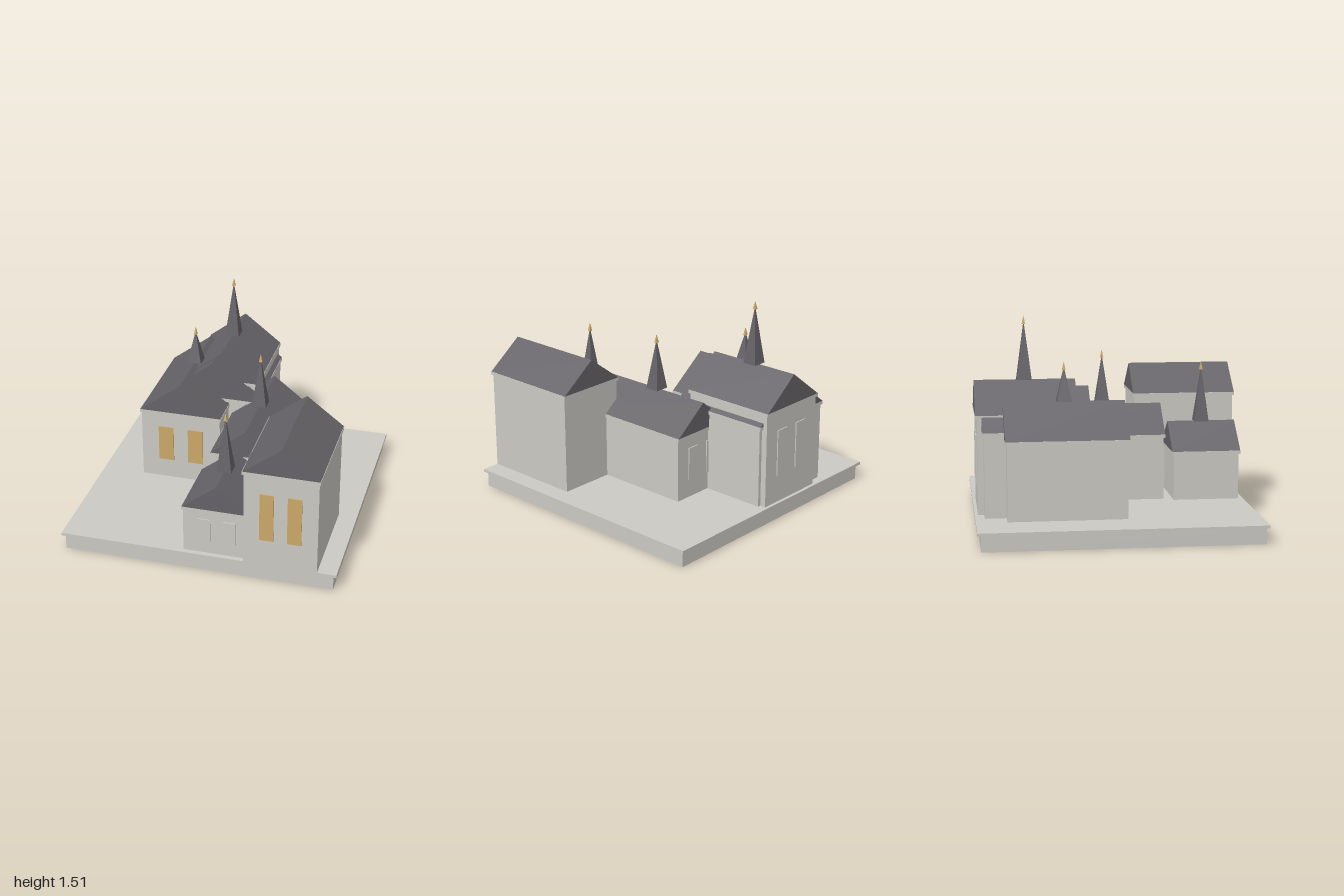
import * as THREE from 'three';

const flat = (name, color) => {
  const m = new THREE.MeshStandardMaterial({ color });
  m.name = name;
  return m;
};

export function createModel() {
  const stone = flat('stone', 0xcccac4);
  const slate = flat('slate', 0x666368);
  const gold = flat('gold', 0xcca868);

  const add = (parent, name, geometry, material, x = 0, y = 0, z = 0) => {
    const mesh = new THREE.Mesh(geometry, material);
    mesh.name = name;
    mesh.position.set(x, y, z);
    parent.add(mesh);
    return mesh;
  };

  // Box given by its limits on each axis
  const block = (parent, name, material, x0, x1, y0, y1, z0, z1) =>
    add(parent, name, new THREE.BoxGeometry(x1 - x0, y1 - y0, z1 - z0), material,
      (x0 + x1) / 2, (y0 + y1) / 2, (z0 + z1) / 2);

  // Square pyramid standing on y
  const pyramid = (parent, name, material, half, y0, y1, x, z) => {
    const g = new THREE.ConeGeometry(half * Math.SQRT2, y1 - y0, 4, 1).toNonIndexed();
    g.rotateY(Math.PI / 4);
    g.computeVertexNormals();
    add(parent, name, g, material, x, (y0 + y1) / 2, z);
  };

  const model = new THREE.Group();
  model.name = 'buildingCluster';

  // Plinth and paving slab
  block(model, 'plinth', stone, -0.972, 0.972, 0, 0.115, -0.975, 0.965);
  block(model, 'pavingSlab', stone, -0.995, 0.995, 0.115, 0.135, -1, 0.985);

  // Halls: x centre, half width at the eaves, z limits, eave and ridge height
  const halls = [
    { name: 'tallFrontHall', x: 0.6, half: 0.27, z: [0.225, 0.998], eave: 0.868, ridge: 1.07,
      windows: { side: 1, y: [0.34, 0.705], material: gold } },
    { name: 'smallFrontHall', x: 0.14, half: 0.25, z: [0.455, 0.96], eave: 0.494, ridge: 0.685,
      windows: { side: 1, y: [0.235, 0.41], material: stone }, spire: [0.705, 1.13] },
    { name: 'middleHall', x: 0.2, half: 0.26, z: [-0.475, 0.41], eave: 0.615, ridge: 0.815,
      windows: { side: -1, y: [0.265, 0.51], material: stone }, spire: [-0.03, 1.22] },
    { name: 'sideHall', x: -0.385, half: 0.31, z: [-0.795, 0.065], eave: 0.692, ridge: 0.925,
      windows: { side: 1, y: [0.285, 0.562], material: gold }, spire: [-0.365, 1.205] },
    { name: 'rearTallHall', x: -0.162, half: 0.283, z: [-0.988, -0.265], eave: 0.838, ridge: 1.055,
      windows: { side: -1, y: [0.335, 0.68], material: stone }, spire: [-0.63, 1.51] },
    { name: 'rearWideHall', x: -0.21, half: 0.355, z: [-0.945, -0.175], eave: 0.735, ridge: 1.01 },
  ];

  for (const h of halls) {
    const hall = new THREE.Group();
    hall.name = h.name;
    model.add(hall);
    const [z0, z1] = h.z;
    const w = h.half - 0.01;

    // Walls and projecting cornice
    block(hall, 'walls', stone, h.x - w, h.x + w, 0.135, h.eave - 0.025, z0 + 0.012, z1 - 0.012);
    block(hall, 'cornice', stone, h.x - h.half, h.x + h.half, h.eave - 0.025, h.eave, z0, z1);

    // Solid gable roof
    const r = h.half - 0.003;
    const gable = new THREE.Shape([
      new THREE.Vector2(-r, 0),
      new THREE.Vector2(r, 0),
      new THREE.Vector2(0, h.ridge - h.eave),
    ]);
    add(hall, 'gableRoof',
      new THREE.ExtrudeGeometry(gable, { depth: z1 - z0, bevelEnabled: false }),
      slate, h.x, h.eave, z0);

    // Pair of thin window plates
    if (h.windows) {
      const { side, y, material } = h.windows;
      const face = side > 0 ? z1 - 0.012 : z0 + 0.012;
      for (const s of [-1, 1]) {
        const cx = h.x + s * w * 0.375;
        const hw = w * 0.19;
        block(hall, 'window', material, cx - hw, cx + hw, y[0], y[1],
          face - (side > 0 ? 0.001 : 0.008), face + (side > 0 ? 0.008 : 0.001));
      }
    }

    // Ridge spire with a gilded tip
    if (h.spire) {
      const [z, top] = h.spire;
      pyramid(hall, 'spire', slate, 0.053, h.ridge, top - 0.035, h.x, z);
      pyramid(hall, 'finial', gold, 0.012, top - 0.06, top, h.x, z);
    }
  }
  return model;
}
